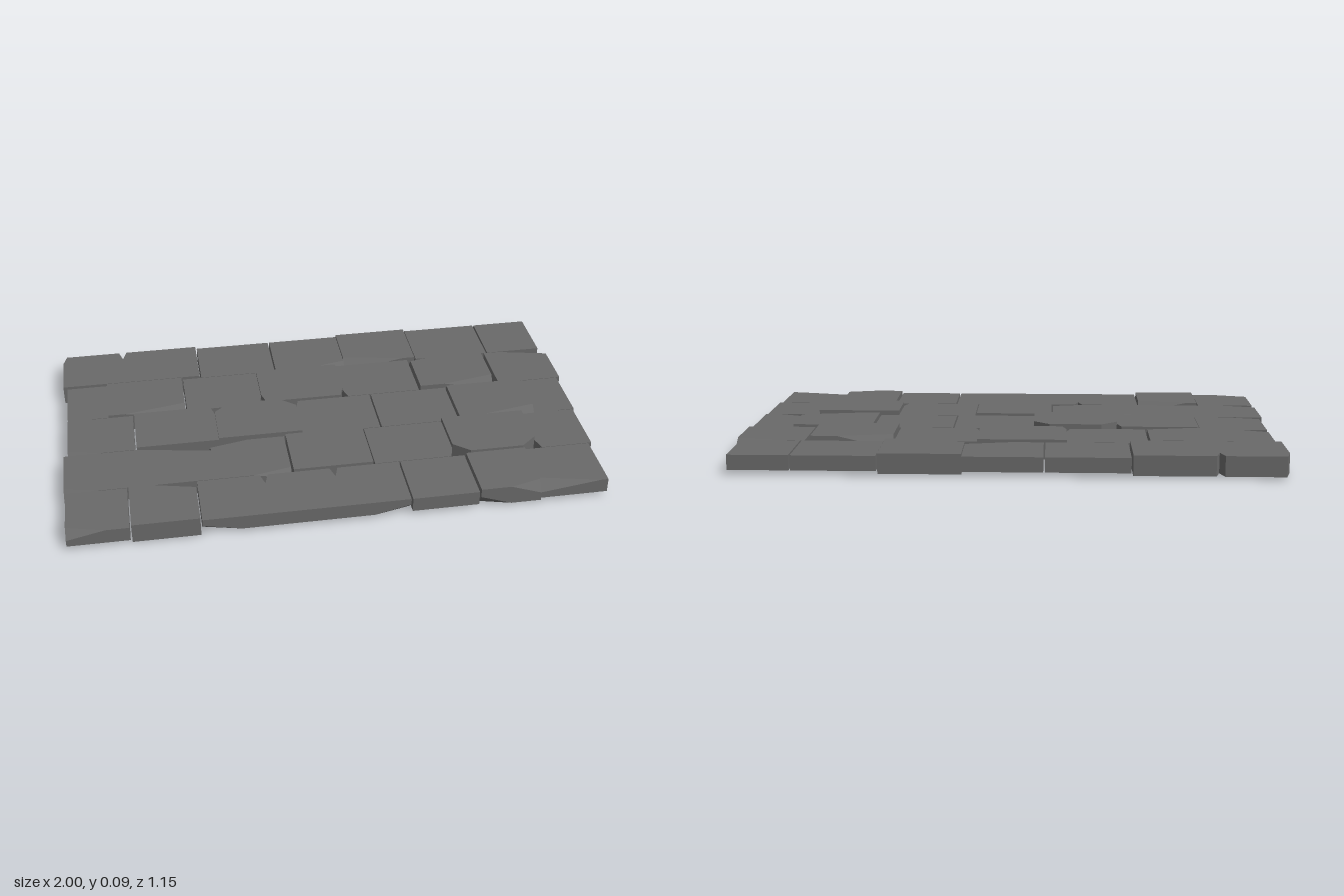
import * as THREE from 'three';
import { ConvexGeometry } from 'three/addons/geometries/ConvexGeometry.js';

const DEPTH = 0.228, PITCH = 0.2305;

// Rows from back to front. Stones count from 1, left to right.
// joints: x of the stone ends; shut, wide: joints with no gap or a broad gap;
// medium, proud: thicker stones;
// notches: joints cut open at the row's front (notchSide 1) or back (-1);
// front, back, under: stones chipped on that edge, from the right end (+) or left end (-)
const ROWS = [
  { joints: [-1, -0.755, -0.448, -0.14, 0.15, 0.448, 0.756, 0.978],
    shut: [1, 4], wide: [], medium: [1, 2, 5], proud: [], notchSide: -1, notches: [0, 1],
    front: [4, -5], back: [], under: [-7] },
  { joints: [-0.985, -0.826, -0.523, -0.221, 0.108, 0.416, 0.733, 1],
    shut: [1, 3, 4], wide: [6], medium: [2, 4], proud: [6], notchSide: 1, notches: [3, 4],
    front: [-1, 2, 6], back: [-6, 7], under: [5, -6] },
  { joints: [-0.985, -0.73, -0.416, -0.096, 0.211, 0.522, 0.83, 0.985],
    shut: [2, 3, 6], wide: [], medium: [2, 6], proud: [3], notchSide: -1, notches: [2, 3],
    front: [-1, 6, -7], back: [], under: [2, -5] },
  { joints: [-1, -0.754, -0.452, -0.166, 0.139, 0.448, 0.769, 0.978],
    shut: [1, 2, 5, 6], wide: [], medium: [4], proud: [6], notchSide: 1, notches: [5, 6],
    front: [-1, 3], back: [2, -3], under: [4] },
  { joints: [-0.995, -0.77, -0.523, -0.275, -0.016, 0.233, 0.485, 0.715, 0.965],
    shut: [3, 4, 7], wide: [], medium: [2, 7], proud: [], notchSide: -1, notches: [3, 4],
    front: [-1, 7, -8], back: [2], under: [-3, 5, -7] },
];

// Half the gap at a joint; the row's outer ends have none
function halfGap(row, joint) {
  const outer = joint === 0 || joint === row.joints.length - 1;
  if (outer || row.shut.includes(joint)) return 0;
  return row.wide.includes(joint) ? 0.01 : 0.003;
}

// Convex block with notches cut through its corners and chips knocked off its edges
function stoneGeometry(row, r, n) {
  const x0 = row.joints[n - 1] + halfGap(row, n - 1);
  const x1 = row.joints[n] - halfGap(row, n);
  const z0 = -0.575 + PITCH * r, z1 = z0 + DEPTH;
  const swell = row.proud.includes(n) ? 0.045 : row.medium.includes(n) ? 0.037 : 0.0275;
  const wobble = Math.sin(7 * r + 3 * n);
  const points = [];
  const add = (x, y, z) => points.push(new THREE.Vector3(x, y, z));
  for (const sx of [-1, 1]) for (const sz of [-1, 1]) for (const sy of [-1, 1]) {
    const x = sx < 0 ? x0 : x1, z = sz < 0 ? z0 : z1, y = 0.045 + sy * swell;
    const joint = sx < 0 ? n - 1 : n;
    const chips = sy > 0 ? (sz > 0 ? row.front : row.back) : (sz > 0 ? row.under : []);
    if (sz === row.notchSide && row.notches.includes(joint)) {
      const open = row.proud.includes(n) ? 0.06 : 0.015;
      add(x - sx * open, y, z);
      add(x, y, z - sz * 0.05);
    } else if (chips.includes(sx * n)) {
      add(x - sx * (x1 - x0) * (0.7 + 0.2 * wobble), y, z);
      add(x, y, z - sz * (0.04 + 0.01 * wobble));
      add(x, y - sy * swell * 1.1, z);
    } else {
      add(x, y, z);
    }
  }
  return new ConvexGeometry(points);
}

export function createModel() {
  const model = new THREE.Group();
  model.name = 'stonePaving';
  const material = new THREE.MeshStandardMaterial({ color: 0x696969, flatShading: true });
  ROWS.forEach((row, r) => {
    const course = new THREE.Group();
    course.name = `stoneRow${r + 1}`;
    for (let n = 1; n < row.joints.length; n++) {
      const stone = new THREE.Mesh(stoneGeometry(row, r, n), material);
      stone.name = `stone${n}`;
      course.add(stone);
    }
    model.add(course);
  });
  return model;
}
